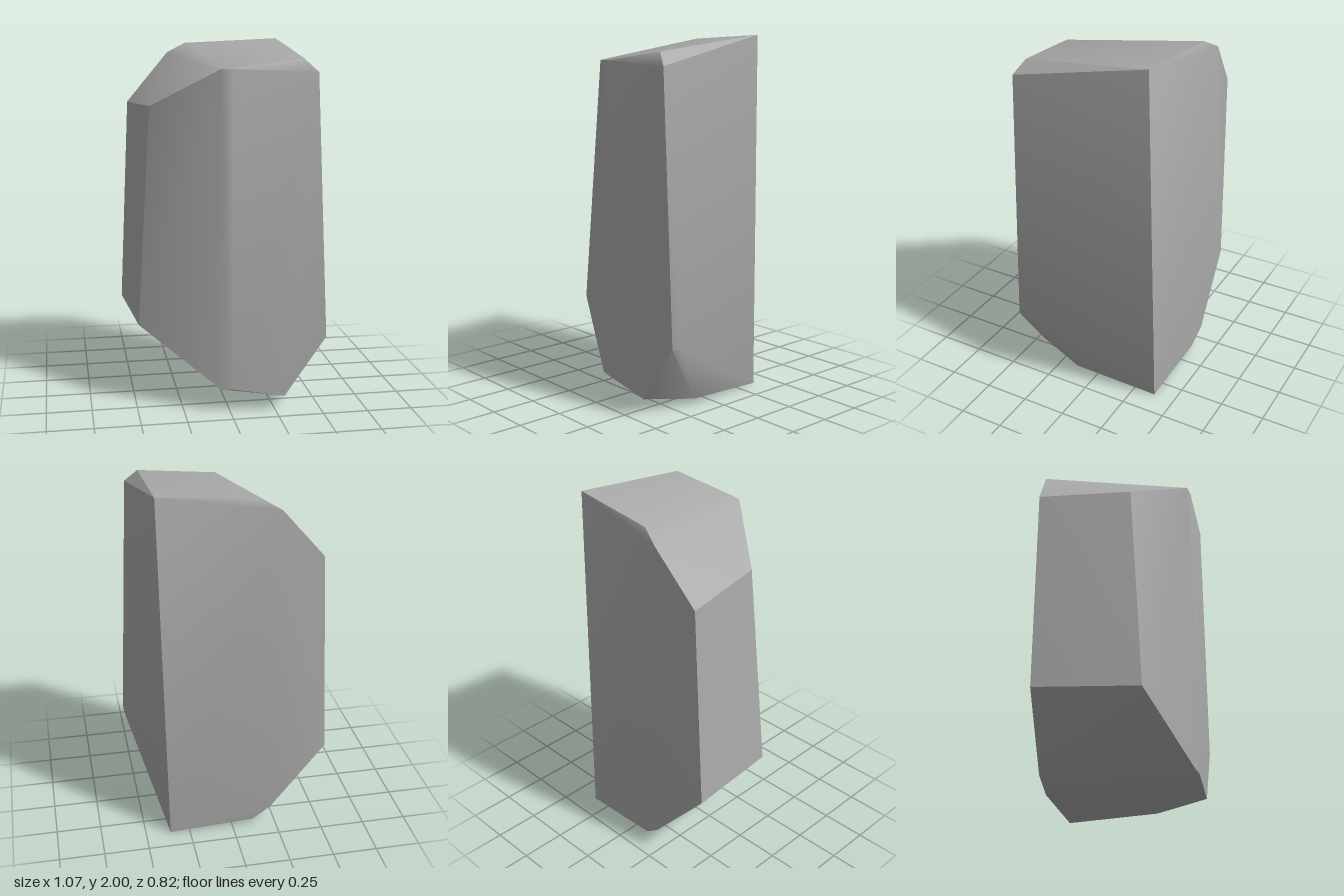
import * as THREE from 'three';
import { toCreasedNormals } from 'three/addons/utils/BufferGeometryUtils.js';
import { ConvexGeometry } from 'three/addons/geometries/ConvexGeometry.js';

export function createModel() {
  const group = new THREE.Group();
  group.name = 'standingStone';

  const stoneGrey = new THREE.MeshStandardMaterial({ color: 0xaaaaaa });
  stoneGrey.name = 'stone grey';

  // Corners of the rough-hewn block
  const topCorners = [
    [0.39, 2.0, -0.335], [0.39, 1.92, 0.37], [0.46, 1.85, 0.41],
    [0.01, 1.87, 0.41], [-0.055, 1.87, 0.4], [-0.4, 1.66, 0.125],
    [-0.48, 1.64, -0.378], [-0.24, 1.92, -0.415], [-0.14, 1.975, -0.38],
  ];
  const bottomCorners = [
    [0.53, 0.41, 0.41], [0.53, 0.4, 0.34], [0.385, 0.035, 0.12],
    [0.3, 0.08, 0.41], [0.01, 0.135, 0.41], [-0.055, 0.138, 0.4],
    [-0.48, 0.46, 0.195], [-0.535, 0.475, -0.37], [-0.215, 0.11, -0.4],
    [-0.115, 0.032, -0.388], [0.36, 0, -0.378],
  ];
  const corners = [...topCorners, ...bottomCorners].map((p) => new THREE.Vector3(...p));

  // Convex block: soft shallow bends, sharp main edges
  const geometry = toCreasedNormals(new ConvexGeometry(corners), 0.6);
  const stone = new THREE.Mesh(geometry, stoneGrey);
  stone.name = 'stone';
  group.add(stone);
  return group;
}
